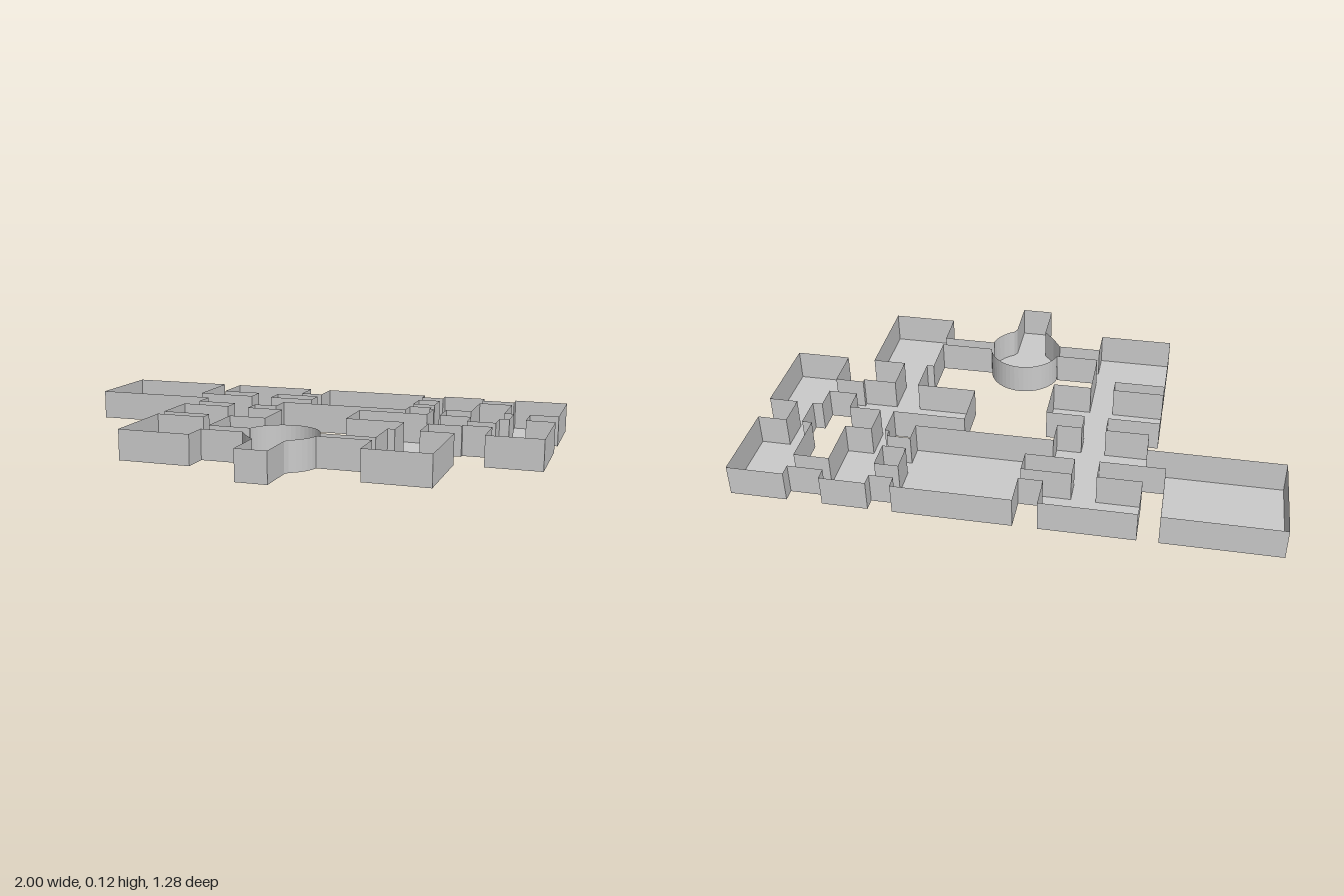
import * as THREE from 'three';
import { mergeGeometries } from 'three/addons/utils/BufferGeometryUtils.js';

const H = 0.12; // wall height
const mat = new THREE.MeshStandardMaterial({ color: 0xcccccc, side: THREE.DoubleSide, flatShading: true });

// Upright wall panel between two plan points [x, z]
function wall([xa, za], [xb, zb]) {
  const dx = xb - xa, dz = zb - za;
  return new THREE.PlaneGeometry(Math.hypot(dx, dz), H)
    .rotateY(-Math.atan2(dz, dx))
    .translate((xa + xb) / 2, H / 2, (za + zb) / 2);
}

// Flat floor filling a rectangle
function floor([x0, x1, z0, z1]) {
  return new THREE.PlaneGeometry(x1 - x0, z1 - z0)
    .rotateX(-Math.PI / 2)
    .translate((x0 + x1) / 2, 0, (z0 + z1) / 2);
}

// Remaining intervals of [a, b] after cutting the doorways out
function solidSpans(a, b, doors) {
  const spans = [];
  for (const [d0, d1] of doors.sort((p, q) => p[0] - q[0])) {
    if (d0 - a > 0.003) spans.push([a, d0]);
    a = Math.max(a, d1);
  }
  if (b - a > 0.003) spans.push([a, b]);
  return spans;
}

// x0, x1, z0, z1
const rooms = {
  farWestHall: [-1, -0.567, -0.642, -0.278],
  northWestRoom: [-0.49, -0.14, -0.642, -0.465],
  westJunctionRoom: [-0.49, -0.14, -0.377, -0.184],
  greatHall: [-0.05, 0.39, -0.642, -0.278],
  northRoom: [0.48, 0.652, -0.642, -0.326],
  northEastRoom: [0.786, 1, -0.642, -0.326],
  eastRoom: [0.786, 1, -0.203, 0.134],
  middleRoom: [0.217, 0.674, -0.203, -0.011],
  southEastRoom: [0.422, 0.674, 0.134, 0.498],
  westRoom: [-0.524, -0.086, -0.107, 0.086],
  southWestRoom: [-0.524, -0.235, 0.144, 0.476],
};
const corridorsAlongX = [
  [-0.567, -0.49, -0.377, -0.278], [-0.14, -0.05, -0.377, -0.278],
  [-0.14, -0.05, -0.52, -0.465], [0.39, 0.48, -0.595, -0.527],
  [0.39, 0.48, -0.42, -0.358], [0.652, 0.786, -0.595, -0.527],
  [0.674, 0.786, -0.112, -0.027], [0.212, 0.422, 0.302, 0.353],
  [-0.235, -0.067, 0.294, 0.369],
];
const corridorsAlongZ = [
  [-0.326, -0.235, -0.465, -0.377], [-0.326, -0.235, -0.184, -0.107],
  [-0.326, -0.235, 0.086, 0.144], [0.824, 0.888, -0.326, -0.203],
  [0.497, 0.55, -0.326, -0.203], [0.45, 0.545, -0.011, 0.134],
];

// Room: floor and four walls, with an opening wherever a corridor meets a wall
function roomGeometry(r) {
  const [x0, x1, z0, z1] = r;
  const parts = [floor(r)];
  const near = (a, b) => Math.abs(a - b) < 0.004;
  for (const [x, end] of [[x0, 1], [x1, 0]]) {
    const doors = corridorsAlongX
      .filter(c => near(c[end], x) && c[3] > z0 && c[2] < z1).map(c => [c[2], c[3]]);
    for (const [a, b] of solidSpans(z0, z1, doors)) parts.push(wall([x, a], [x, b]));
  }
  for (const [z, end] of [[z0, 3], [z1, 2]]) {
    const doors = corridorsAlongZ
      .filter(c => near(c[end], z) && c[1] > x0 && c[0] < x1).map(c => [c[0], c[1]]);
    for (const [a, b] of solidSpans(x0, x1, doors)) parts.push(wall([a, z], [b, z]));
  }
  return mergeGeometries(parts);
}

// Corridor: floor and two side walls, open at both ends
function corridorGeometry(c, alongX) {
  const [x0, x1, z0, z1] = c;
  const sides = alongX
    ? [wall([x0, z0], [x1, z0]), wall([x0, z1], [x1, z1])]
    : [wall([x0, z0], [x0, z1]), wall([x1, z0], [x1, z1])];
  return mergeGeometries([floor(c), ...sides]);
}

// Round chamber with its entrance passage, open to a corridor on each side
function rotundaGeometry() {
  const cx = 0.0725, cz = 0.33, r = 0.143;
  const arc = (a0, a1, n) => Array.from({ length: n + 1 }, (_, i) => {
    const a = a0 + (a1 - a0) * i / n;
    return [cx + r * Math.cos(a), cz + r * Math.sin(a)];
  });
  const back = arc(Math.PI + 0.255, 2 * Math.PI - 0.197, 20);
  const front = [
    ...arc(0.162, 1.05, 5),
    [0.134, 0.473], [0.134, 0.642], [0.011, 0.642], [0.011, 0.473],
    [-0.032, 0.423], [-0.067, 0.369],
  ];
  const parts = [back, front].flatMap(line => line.slice(1).map((p, i) => wall(line[i], p)));
  const plan = new THREE.Shape([...back, ...front].map(([x, z]) => new THREE.Vector2(x, -z)));
  parts.push(new THREE.ShapeGeometry(plan).rotateX(-Math.PI / 2));
  return mergeGeometries(parts);
}

export function createModel() {
  const model = new THREE.Group();
  model.name = 'floorPlan';
  const add = (name, geometry) => {
    const mesh = new THREE.Mesh(geometry, mat);
    mesh.name = name;
    model.add(mesh);
  };
  for (const [name, r] of Object.entries(rooms)) add(name, roomGeometry(r));
  corridorsAlongX.forEach((c, i) => add(`crossCorridor${i + 1}`, corridorGeometry(c, true)));
  corridorsAlongZ.forEach((c, i) => add(`lengthCorridor${i + 1}`, corridorGeometry(c, false)));
  add('rotunda', rotundaGeometry());
  return model;
}
